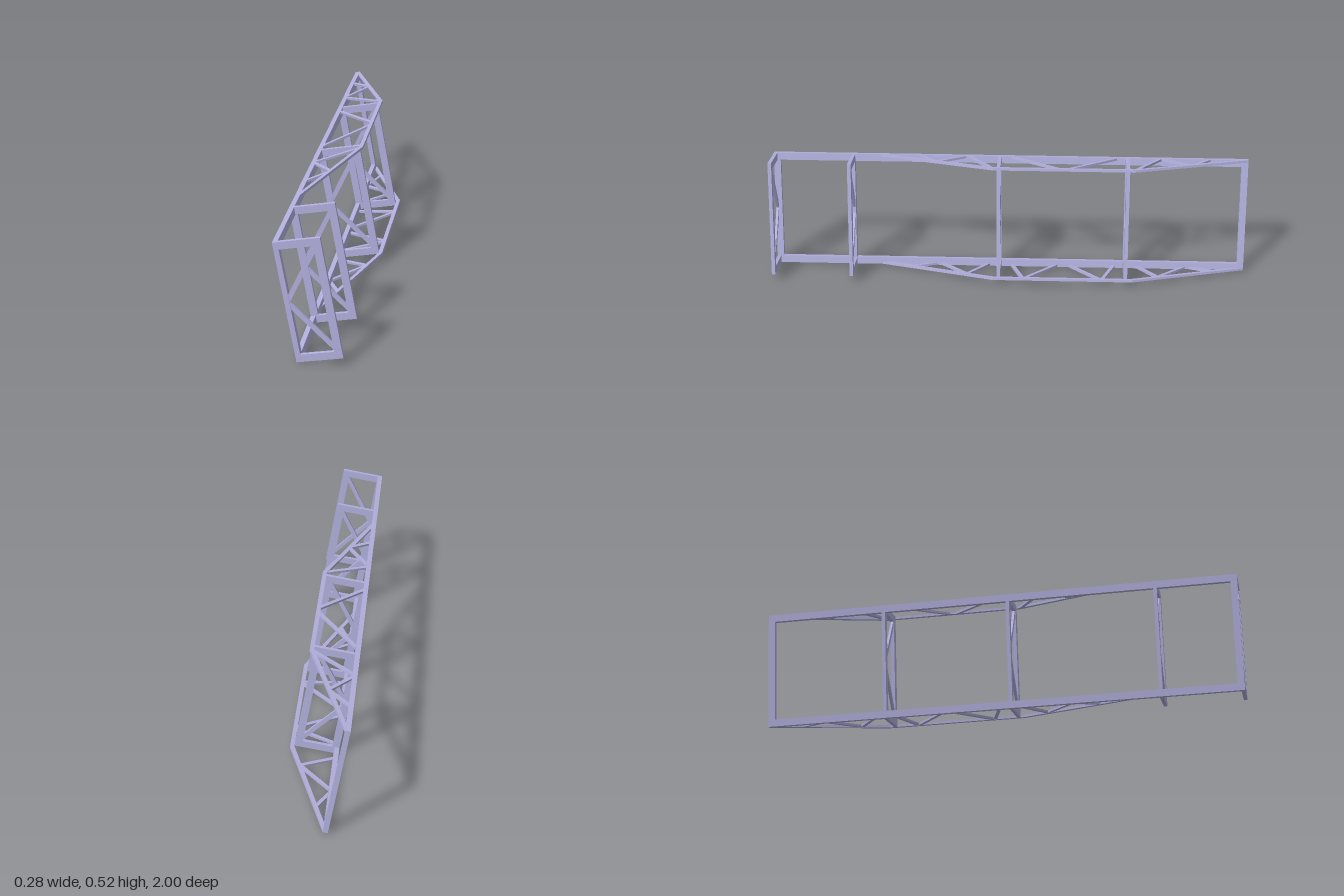
import * as THREE from 'three';

// Local frame: x = out from the rails, y = up the frames, z = along the boom.
const H = 0.49, W = 0.18, MID = -0.2275;

export function createModel() {
  const model = new THREE.Group();
  const boom = new THREE.Group();
  boom.name = 'leaningTruss';
  const mat = new THREE.MeshStandardMaterial({ color: 0xb4b2e0, flatShading: true });

  const add = (name, geo, parent = boom) => {
    const mesh = new THREE.Mesh(geo, mat);
    mesh.name = name;
    parent.add(mesh);
    return mesh;
  };
  // Box given by its minimum and maximum corners
  const box = (name, a, b, parent) => add(name,
    new THREE.BoxGeometry(b[0] - a[0], b[1] - a[1], b[2] - a[2])
      .translate((a[0] + b[0]) / 2, (a[1] + b[1]) / 2, (a[2] + b[2]) / 2), parent);
  // Flat bar between two points
  const bar = (name, a, b, width, depth, parent) => {
    const p = new THREE.Vector3(...a), q = new THREE.Vector3(...b);
    const flat = a[1] === b[1];
    const geo = new THREE.BoxGeometry(flat ? depth : width, flat ? width : depth, p.distanceTo(q));
    // bars lying level are wide sideways and thin in height
    if (flat) geo.rotateZ(Math.PI / 2);
    const m = add(name, geo, parent);
    m.position.copy(p).add(q).multiplyScalar(0.5);
    m.quaternion.setFromRotationMatrix(new THREE.Matrix4().lookAt(q, p, new THREE.Vector3(0, flat ? 1 : 0, flat ? 0 : 1)));
    return m;
  };

  // Long rectangular ring: two rails and two end posts
  box('bottomRail', [0, 0, -1], [0.02, 0.03, 1]);
  box('topRail', [0, H - 0.03, -1], [0.02, H, 1]);
  box('frontPost', [0, 0.03, 0.972], [0.02, H - 0.03, 1]);
  box('backPost', [0, 0.03, -1], [0.02, H - 0.03, -0.972]);

  // Upright frames with two diagonals each
  [[0.985, 0.02], [0.655, 0.03], [0.035, 0.03], [-0.5, 0.03]].forEach(([z, post]) => {
    const frame = new THREE.Group();
    frame.name = 'crossFrame';
    const s = new THREE.Shape([[0, 0], [W, 0], [W, H], [0, H]].map(p => new THREE.Vector2(...p)));
    s.holes.push(new THREE.Path([[post, 0.03], [post, H - 0.03], [0.15, H - 0.03], [0.15, 0.03]]
      .map(p => new THREE.Vector2(...p))));
    add('frameBorder', new THREE.ExtrudeGeometry(s, { depth: 0.015, bevelEnabled: false }).translate(0, 0, z), frame);
    const c = z + 0.0075;
    bar('upperDiagonal', [0.157, 0.457, c], [0.014, 0.252, c], 0.018, 0.01, frame);
    bar('lowerDiagonal', [0.157, 0.041, c], [0.014, 0.241, c], 0.018, 0.01, frame);
    boom.add(frame);
  });

  // Bent outer chords
  const outline = [[0.02, -1], [0.197, -0.52], [0.197, 0.065], [0.02, 0.545],
    [0.02, 0.498], [0.18, 0.062], [0.18, -0.517], [0.02, -0.953]];
  const chordShape = new THREE.Shape(outline.map(([u, z]) => new THREE.Vector2(u, -z)));
  const chord = (name, y) => add(name,
    new THREE.ExtrudeGeometry(chordShape, { depth: 0.01, bevelEnabled: false }).rotateX(-Math.PI / 2).translate(0, y, 0));
  chord('bottomChord', 0);
  chord('topChord', H - 0.01);

  // Web bars [u, z, u, z] for one half, mirrored about the middle of the truss
  const webs = {
    bottomWeb: [[0.06, -0.865, 0.015, -0.77], [0.015, -0.745, 0.142, -0.632], [0.142, -0.628, 0.015, -0.545],
      [0.015, -0.445, 0.186, -0.395], [0.186, -0.385, 0.015, -0.255]],
    topWeb: [[0.015, -0.835, 0.098, -0.765], [0.098, -0.755, 0.015, -0.645], [0.015, -0.63, 0.182, -0.525],
      [0.015, -0.445, 0.186, -0.245]],
  };
  for (const [name, list] of Object.entries(webs)) {
    const y = name === 'topWeb' ? H - 0.0055 : 0.0055;
    for (const [u1, z1, u2, z2] of list) {
      bar(name, [u1, y, z1], [u2, y, z2], 0.015, 0.009);
      bar(name, [u1, y, 2 * MID - z1], [u2, y, 2 * MID - z2], 0.015, 0.009);
    }
  }

  // Whole truss leans by ten degrees
  boom.rotation.z = THREE.MathUtils.degToRad(10);
  boom.position.set(-0.055, 0, 0);
  model.add(boom);
  return model;
}
